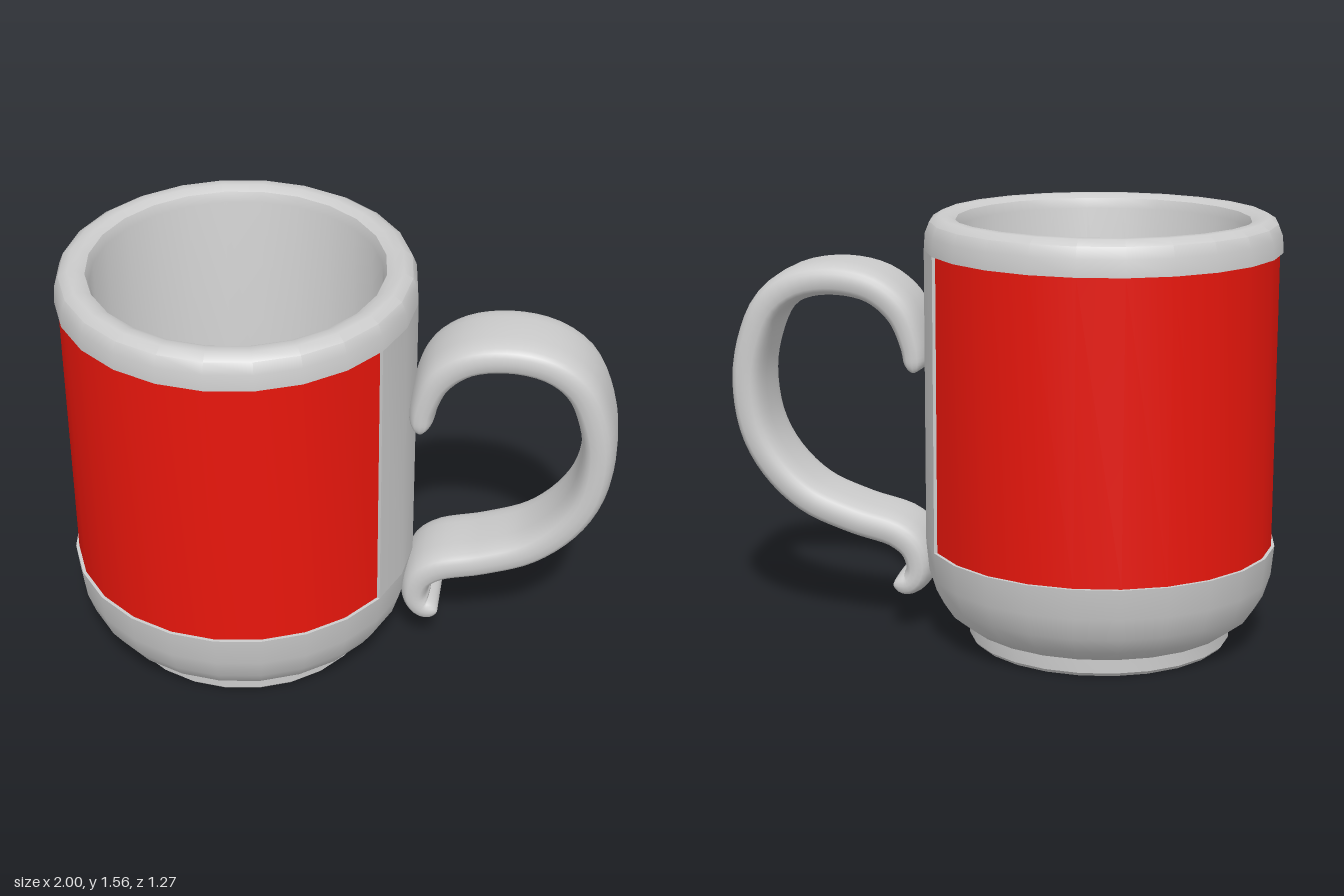
import * as THREE from 'three';
import { toCreasedNormals } from 'three/addons/utils/BufferGeometryUtils.js';

const SIDES = 24;
const R = 0.637; // outer radius of the mug
const LABEL_Y = [0.37, 1.44];
const grey = new THREE.MeshStandardMaterial({ color: 0xcccccc });
const red = new THREE.MeshStandardMaterial({ color: 0xe8160c });

const part = (name, geometry, material = grey) => {
  const mesh = new THREE.Mesh(geometry, material);
  mesh.name = name;
  return mesh;
};

const lathe = (profile, sides = SIDES, start = 0, length = Math.PI * 2) =>
  toCreasedNormals(new THREE.LatheGeometry(
    profile.map(([r, y]) => new THREE.Vector2(r, y)), sides, start, length), 0.65);

// Raised strip of wall behind the handle, spanning 30 degrees to each side
function stripGeometry() {
  const arc = r => [-2, -1, 0, 1, 2].map(i => {
    const a = i * Math.PI * 2 / SIDES;
    return new THREE.Vector2(r * Math.cos(a), r * Math.sin(a));
  });
  const shape = new THREE.Shape([...arc(R), ...arc(0.6).reverse()]);
  const g = new THREE.ExtrudeGeometry(shape, { depth: LABEL_Y[1] - LABEL_Y[0], bevelEnabled: false });
  g.rotateX(-Math.PI / 2).translate(0, LABEL_Y[0], 0);
  return toCreasedNormals(g, 0.65);
}

// Wide rounded band swept along the handle curve, with rounded tips
function handleGeometry() {
  const path = new THREE.CatmullRomCurve3([
    [0.30, 0.985], [0.31, 1.08], [0.36, 1.205], [0.46, 1.285], [0.61, 1.312],
    [0.75, 1.285], [0.85, 1.21], [0.91, 1.08], [0.935, 0.93], [0.91, 0.745],
    [0.835, 0.605], [0.71, 0.49], [0.54, 0.42], [0.37, 0.37], [0.31, 0.315],
    [0.295, 0.235], [0.325, 0.187], [0.385, 0.182],
  ].map(([x, y]) => new THREE.Vector3(x, y, 0)));
  const length = path.getLength(), steps = 80, around = 24;
  const rounded = v => Math.sign(v) * Math.abs(v) ** 0.65;
  const positions = [], index = [];
  for (let i = 0; i <= steps; i++) {
    const t = (1 - Math.cos(Math.PI * i / steps)) / 2;
    const p = path.getPointAt(t), d = path.getTangentAt(t);
    const toTip = Math.min(t, 1 - t) * length;
    const cap = Math.sqrt(1 - (1 - Math.min(toTip / 0.045, 1)) ** 2);
    const h = (0.045 + 0.018 * Math.min(toTip / 0.25, 1)) * cap;
    const w = 0.155 * (0.88 + 0.12 * cap);
    for (let j = 0; j < around; j++) {
      const a = j / around * Math.PI * 2;
      const n = h * rounded(Math.cos(a));
      positions.push(p.x - d.y * n, p.y + d.x * n, w * rounded(Math.sin(a)));
      if (i === steps) continue;
      const k = (j + 1) % around, row = i * around, next = row + around;
      index.push(row + j, row + k, next + j, row + k, next + k, next + j);
    }
  }
  const g = new THREE.BufferGeometry();
  g.setAttribute('position', new THREE.Float32BufferAttribute(positions, 3));
  g.setIndex(index);
  g.computeVertexNormals();
  return g;
}

export function createModel() {
  const model = new THREE.Group();
  model.name = 'mug';

  const cup = new THREE.Group();
  cup.name = 'cup';
  cup.position.x = -0.363;
  model.add(cup);

  // Foot ring with its hollow underside
  cup.add(part('foot', lathe([
    [0, 0.06], [0.33, 0.06], [0.33, 0], [0.465, 0], [0.478, 0.014], [0.478, 0.07],
  ])));
  // Rounded lower body, ending in a ledge under the label
  cup.add(part('lowerBody', lathe([
    [0.47, 0.07], [0.495, 0.07], [0.56, 0.118], [0.6, 0.178], [0.626, 0.26],
    [R, LABEL_Y[0]], [0.6, LABEL_Y[0]],
  ])));
  // Rim and hollow inside
  cup.add(part('rimAndInterior', lathe([
    [0.6, LABEL_Y[1]], [R, LABEL_Y[1]], [0.633, 1.5], [0.617, 1.54], [0.585, 1.56],
    [0.553, 1.56], [0.525, 1.545], [0.512, 1.51], [0.508, 0.45], [0.475, 0.29],
    [0.4, 0.19], [0.28, 0.15], [0, 0.15],
  ])));
  cup.add(part('handleSideWall', stripGeometry()));
  // Coloured band wrapping the rest of the wall
  cup.add(part('label', lathe(LABEL_Y.map(y => [0.625, y]), 20, Math.PI * 2 / 3, Math.PI * 5 / 3), red));

  model.add(part('handle', handleGeometry()));
  return model;
}
